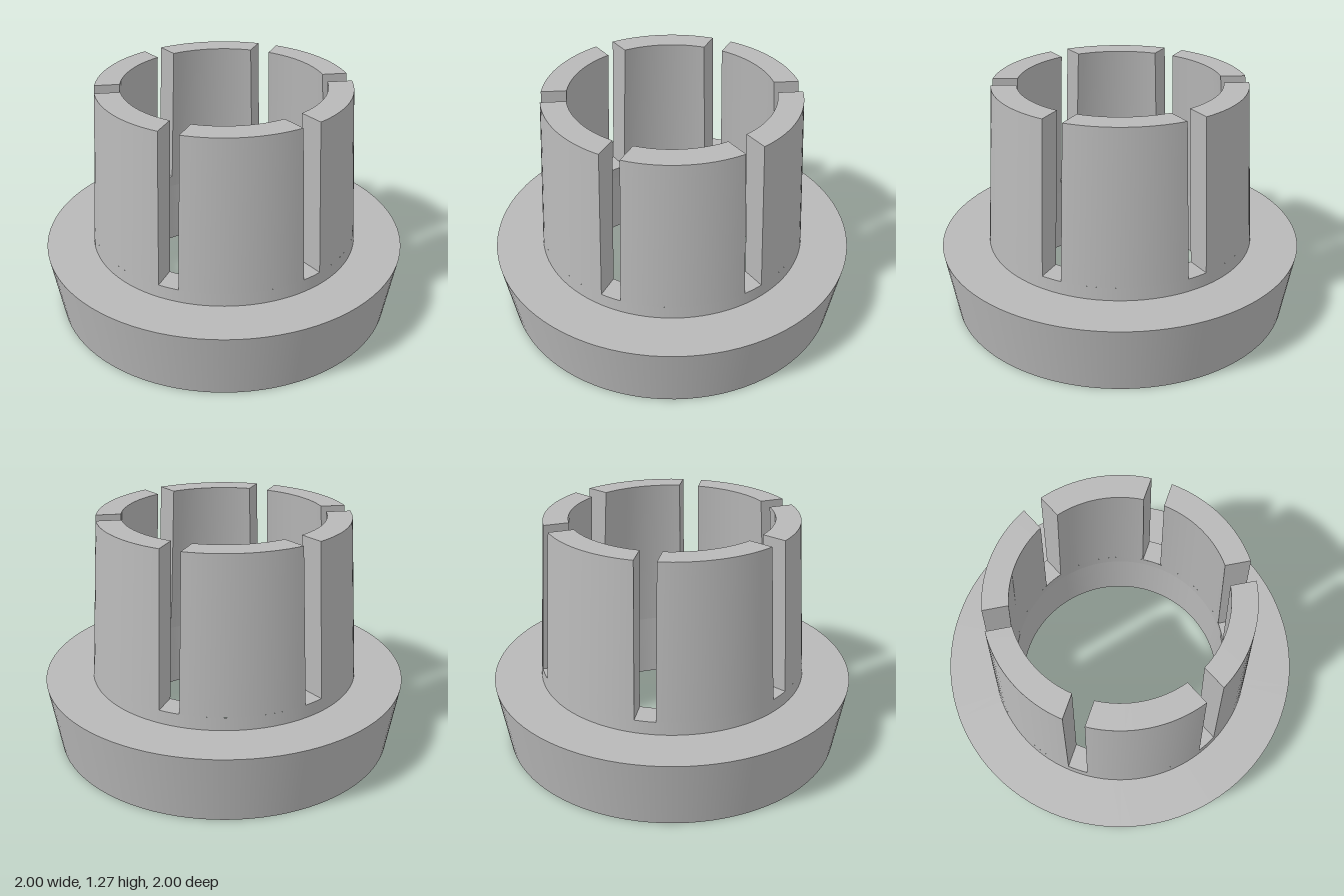
import * as THREE from 'three';
import { mergeGeometries } from 'three/addons/utils/BufferGeometryUtils.js';

const SLOTS = 6;
const SLOT_HALF = 0.055; // half width of the parallel-sided slots
const BASE_TOP = 0.38, SLOT_FLOOR = 0.45, TOP = 1.273;

// Smooth band of revolution between two [radius, height] points
function band(a, b) {
  return new THREE.LatheGeometry([new THREE.Vector2(...a), new THREE.Vector2(...b)], 96);
}

// Plane whose vertices are moved by rule(u, v) -> [angle, radius, height]
function patch(segments, rule) {
  const g = new THREE.PlaneGeometry(1, 1, segments, 1);
  const p = g.attributes.position;
  for (let i = 0; i < p.count; i++) {
    const [a, r, y] = rule(p.getX(i) + 0.5, p.getY(i) + 0.5);
    p.setXYZ(i, r * Math.sin(a), y, r * Math.cos(a));
  }
  g.computeVertexNormals();
  return g;
}

// Angle taken up by half a slot at a given radius
const slotAngle = (r) => Math.asin(SLOT_HALF / r);

export function createModel() {
  const model = new THREE.Group();
  const grey = new THREE.MeshStandardMaterial({ color: 0xb8b8b8 });
  grey.name = 'grey';

  const add = (name, parts) => {
    const mesh = new THREE.Mesh(mergeGeometries(parts), grey);
    mesh.name = name;
    model.add(mesh);
    return mesh;
  };

  // Flange, bore and the unslotted foot of the sleeve
  add('flange', [
    band([0.61, 0], [0.943, 0]),
    band([0.943, 0], [1, BASE_TOP]),
    band([1, BASE_TOP], [0.74, BASE_TOP]),
    band([0.61, BASE_TOP], [0.61, 0]),
  ]);
  add('sleeveFoot', [
    band([0.74, BASE_TOP], [0.735, SLOT_FLOOR]),
    band([0.605, SLOT_FLOOR], [0.61, BASE_TOP]),
  ]);

  // Finger cross-section: outer bottom, outer top, inner top, inner bottom
  const section = [[0.735, SLOT_FLOOR], [0.677, TOP], [0.545, TOP], [0.605, SLOT_FLOOR]];
  const halfAngle = (r) => Math.PI / SLOTS - slotAngle(r);
  const parts = [];
  for (let i = 0; i < 3; i++) {
    const [p, q] = [section[i], section[i + 1]];
    parts.push(patch(16, (u, v) => {
      const r = p[0] + (q[0] - p[0]) * v;
      return [(2 * u - 1) * halfAngle(r), r, p[1] + (q[1] - p[1]) * v];
    }));
  }
  // Flat slot walls at both ends of the finger
  for (const side of [1, -1]) {
    parts.push(patch(1, (u, v) => {
      const inward = side > 0 ? u : 1 - u;
      const [p, q] = inward > 0.5 ? [section[3], section[2]] : [section[0], section[1]];
      const [r, y] = v > 0.5 ? q : p;
      return [side * halfAngle(r), r, y];
    }));
  }
  const finger = mergeGeometries(parts);

  // Floor at the bottom of a slot
  const floor = patch(4, (u, v) => {
    const r = 0.735 + (0.605 - 0.735) * v;
    return [(2 * u - 1) * slotAngle(r), r, SLOT_FLOOR];
  });

  // Fingers and slots alternate around the axis
  for (let i = 0; i < SLOTS; i++) {
    const angle = (i * 2 * Math.PI) / SLOTS;
    add('finger', [finger]).rotation.y = angle + Math.PI / SLOTS;
    add('slotFloor', [floor]).rotation.y = angle;
  }
  return model;
}
